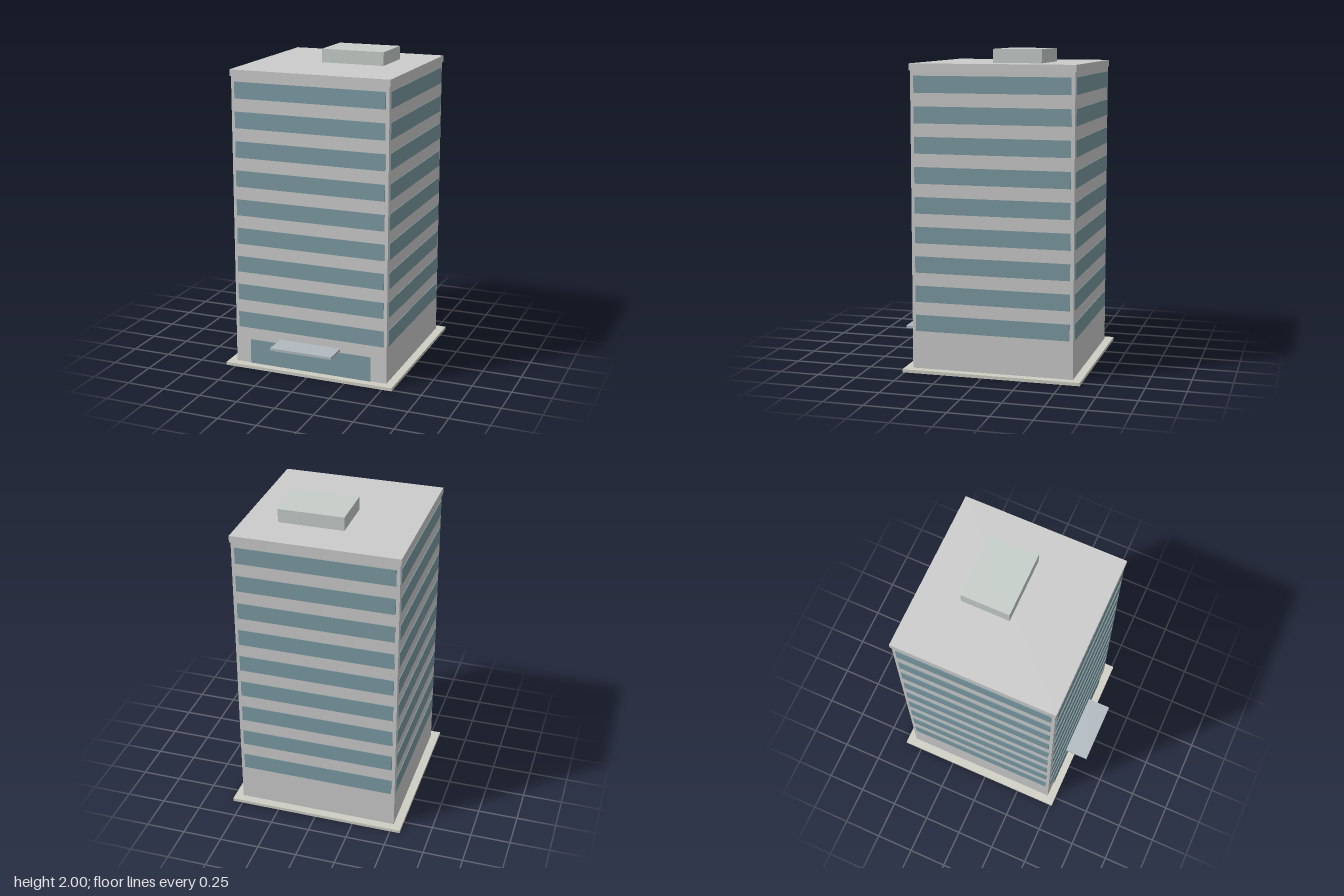
import * as THREE from 'three';

const CZ = -0.051; // centre of the tower in z
const HALF = 0.511; // half width of the tower
const mat = (color) => new THREE.MeshStandardMaterial({ color });

// Box given by its extents on each axis
function block(name, [x0, x1], [y0, y1], [z0, z1], material) {
  const mesh = new THREE.Mesh(new THREE.BoxGeometry(x1 - x0, y1 - y0, z1 - z0), material);
  mesh.position.set((x0 + x1) / 2, (y0 + y1) / 2, (z0 + z1) / 2);
  mesh.name = name;
  return mesh;
}

export function createModel() {
  const model = new THREE.Group();
  model.name = 'officeTower';
  const wall = mat(0xcccccc);
  const glass = mat(0x7c9aa3);
  const around = (h) => [[-h, h], [CZ - h, CZ + h]];

  // Ground slab, tower body and roof cap
  const [bx, bz] = around(0.564);
  model.add(block('baseSlab', bx, [0, 0.02], bz, mat(0xcecec4)));
  const [tx, tz] = around(HALF);
  model.add(block('towerBody', tx, [0.02, 1.88], tz, wall));
  const [cx, cz] = around(0.518);
  model.add(block('roofCap', cx, [1.873, 1.915], cz, wall));

  // Plant room on the roof
  model.add(block('plantRoom', [-0.105, 0.307], [1.915, 2], [-0.31, -0.003], mat(0xc6ceca)));

  // Ribbon windows on all four sides of nine storeys
  const out = 0.005, half = 0.489, height = 0.103;
  const bandGeometry = new THREE.BoxGeometry(half * 2, height, out * 2);
  for (let side = 0; side < 4; side++) {
    const facade = new THREE.Group();
    facade.name = ['frontWindows', 'leftWindows', 'backWindows', 'rightWindows'][side];
    facade.position.z = CZ;
    facade.rotation.y = side * Math.PI / 2;
    for (let floor = 0; floor < 9; floor++) {
      const band = new THREE.Mesh(bandGeometry, glass);
      band.name = 'windowBand';
      band.position.set(0, 0.3105 + floor * 0.1849, HALF);
      facade.add(band);
    }
    model.add(facade);
  }

  // Entrance glazing and canopy
  const front = CZ + HALF;
  model.add(block('lobbyGlass', [-0.41, 0.407], [0.02, 0.18], [front - out, front + out], glass));
  model.add(block('entranceCanopy', [-0.205, 0.204], [0.19, 0.206], [front, 0.615], mat(0xb1bac0)));

  return model;
}
